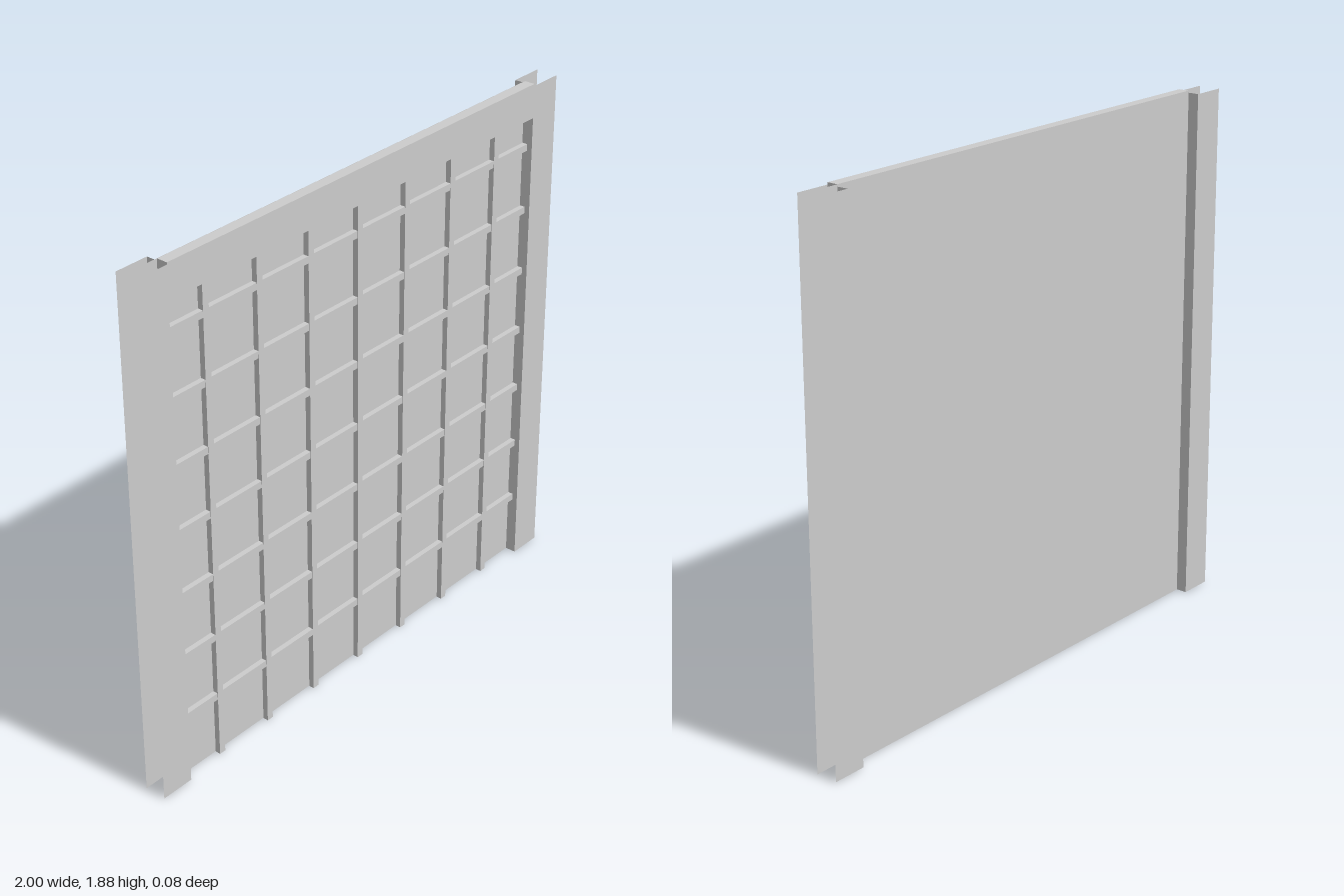
import * as THREE from 'three';

export function createModel() {
  const group = new THREE.Group();
  const material = new THREE.MeshStandardMaterial({
    color: 0xcccccc, flatShading: true, side: THREE.DoubleSide,
  });

  const SIDE_HEIGHT = 1.873, HEIGHT = 1.88; // side channels, lintel top
  const OPENING = 0.875;                    // half width between the jambs
  const DEPTH = 0.04;                       // half depth of the frame
  const LINTEL_BOTTOM = 1.757;

  function add(name, geometry, x, y, z, parent = group) {
    const mesh = new THREE.Mesh(geometry, material);
    mesh.name = name;
    mesh.position.set(x, y, z);
    parent.add(mesh);
    return mesh;
  }

  // Thin backing sheet, tucked into the side channels
  add('panel', new THREE.PlaneGeometry(1.87, HEIGHT), 0, HEIGHT / 2, 0);

  // Side channels: front and back flanges joined by a jamb, open outwards
  for (const side of [-1, 1]) {
    const channel = new THREE.Group();
    channel.name = side > 0 ? 'leftChannel' : 'rightChannel';
    const width = 1 - OPENING;
    for (const face of [-1, 1]) {
      const flange = add(face > 0 ? 'frontFlange' : 'backFlange',
        new THREE.PlaneGeometry(width, SIDE_HEIGHT),
        side * (OPENING + width / 2), SIDE_HEIGHT / 2, face * DEPTH, channel);
      if (face < 0) flange.rotation.y = Math.PI;
    }
    const jamb = add('jamb', new THREE.PlaneGeometry(2 * DEPTH, SIDE_HEIGHT),
      side * OPENING, SIDE_HEIGHT / 2, 0, channel);
    jamb.rotation.y = -side * Math.PI / 2;
    group.add(channel);
  }

  // Lintel across the top, in front of the panel
  const lintelHeight = HEIGHT - LINTEL_BOTTOM;
  add('lintel', new THREE.BoxGeometry(2 * OPENING, lintelHeight, DEPTH - 0.001),
    0, LINTEL_BOTTOM + lintelHeight / 2, (DEPTH + 0.001) / 2);

  // Grid of raised bars
  const PITCH = 0.2345, BAR = 0.025, RISE = 0.02;
  for (let i = 0; i < 7; i++) {
    add('verticalBar', new THREE.BoxGeometry(BAR, LINTEL_BOTTOM, RISE),
      (i - 3) * PITCH - 0.002, LINTEL_BOTTOM / 2, RISE / 2 + 0.001);
    add('horizontalBar', new THREE.BoxGeometry(2 * OPENING, BAR, RISE - 0.001),
      0, 0.237 + i * PITCH, RISE / 2 + 0.0005);
  }

  return group;
}
